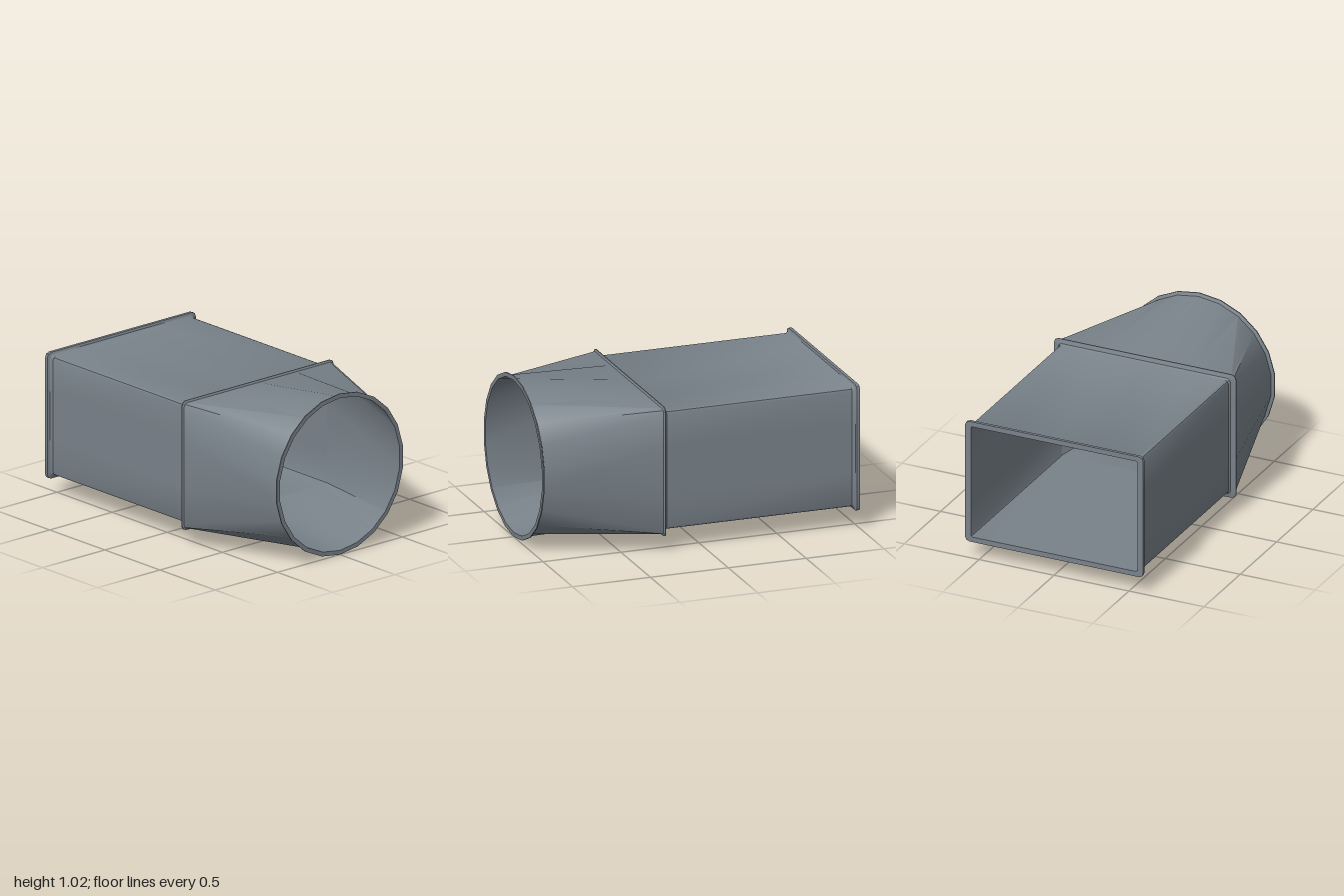
import * as THREE from 'three';
import { toCreasedNormals } from 'three/addons/utils/BufferGeometryUtils.js';

const SIDES = 22; // facets of the round end
const RECT_Y = 0.507; // centre height of the rectangular sections
const ROUND_Y = 0.51; // centre height of the round sections

// Mirror the top +z quarter of [y, z] points into a full cross-section at x
function section(x, centerY, quarter) {
  const back = [...quarter].reverse();
  const place = (points, sy, sz) =>
    points.map(([y, z]) => new THREE.Vector3(x, centerY + sy * y, sz * z));
  return [
    ...place(quarter, 1, 1), ...place(back, -1, 1),
    ...place(quarter, -1, -1), ...place(back, 1, -1),
  ];
}

// Rectangle with bevel-rounded corners and extra points along its edges
function rect(x, halfY, halfZ, radius) {
  const corner = [0, 1, 2].map((k) => {
    const a = k * Math.PI / 4;
    return [halfY - radius + radius * Math.cos(a), halfZ - radius + radius * Math.sin(a)];
  });
  return section(x, RECT_Y, [[halfY, 0], [halfY, halfZ / 2], ...corner, [halfY * 0.4, halfZ]]);
}

// Round cross-section with the same number of points as rect()
function round(x, radius) {
  const quarter = [0, 1, 2, 3, 4, 5].map((k) => {
    const a = k * Math.PI * 2 / SIDES;
    return [radius * Math.cos(a), radius * Math.sin(a)];
  });
  return section(x, ROUND_Y, quarter);
}

// Skin a closed sequence of cross-sections: outside towards +x, then back along the inside
function skin(sections) {
  const positions = [];
  const triangle = (a, b, c) => {
    const area = b.clone().sub(a).cross(c.clone().sub(a)).length();
    if (area > 1e-9) positions.push(...a.toArray(), ...b.toArray(), ...c.toArray());
  };
  sections.forEach((ring, i) => {
    const next = sections[(i + 1) % sections.length];
    ring.forEach((a, j) => {
      const k = (j + 1) % ring.length;
      const [b, c, d] = [ring[k], next[k], next[j]];
      // split along the shorter diagonal
      if (a.distanceTo(c) < b.distanceTo(d)) {
        triangle(a, b, c);
        triangle(a, c, d);
      } else {
        triangle(a, b, d);
        triangle(b, c, d);
      }
    });
  });
  const geometry = new THREE.BufferGeometry();
  geometry.setAttribute('position', new THREE.Float32BufferAttribute(positions, 3));
  return toCreasedNormals(geometry, 0.6);
}

export function createModel() {
  const group = new THREE.Group();
  group.name = 'ductAdapter';
  const material = new THREE.MeshStandardMaterial({ color: 0x79828a });
  const add = (name, sections) => {
    const mesh = new THREE.Mesh(skin(sections), material);
    mesh.name = name;
    group.add(mesh);
  };

  // Straight rectangular duct with a flange at its open end and a flared joint end
  add('rectangularDuct', [
    rect(-1, 0.367, 0.556, 0.012),
    rect(-1, 0.4, 0.595, 0.03),
    rect(-0.98, 0.4, 0.595, 0.03),
    rect(-0.975, 0.386, 0.578, 0.024),
    rect(-0.96, 0.376, 0.566, 0.02),
    rect(0.23, 0.376, 0.566, 0.02),
    rect(0.242, 0.384, 0.575, 0.024),
    rect(0.25, 0.41, 0.607, 0.03),
    rect(0.256, 0.41, 0.607, 0.03),
    rect(0.256, 0.367, 0.556, 0.012),
  ]);

  // Rectangle-to-round transition with a thin rim at the round end
  add('roundTransition', [
    rect(0.256, 0.367, 0.556, 0.012),
    rect(0.256, 0.41, 0.607, 0.03),
    rect(0.263, 0.398, 0.597, 0.025),
    round(0.985, 0.49),
    round(0.993, 0.51),
    round(1, 0.51),
    round(1, 0.483),
  ]);

  return group;
}
